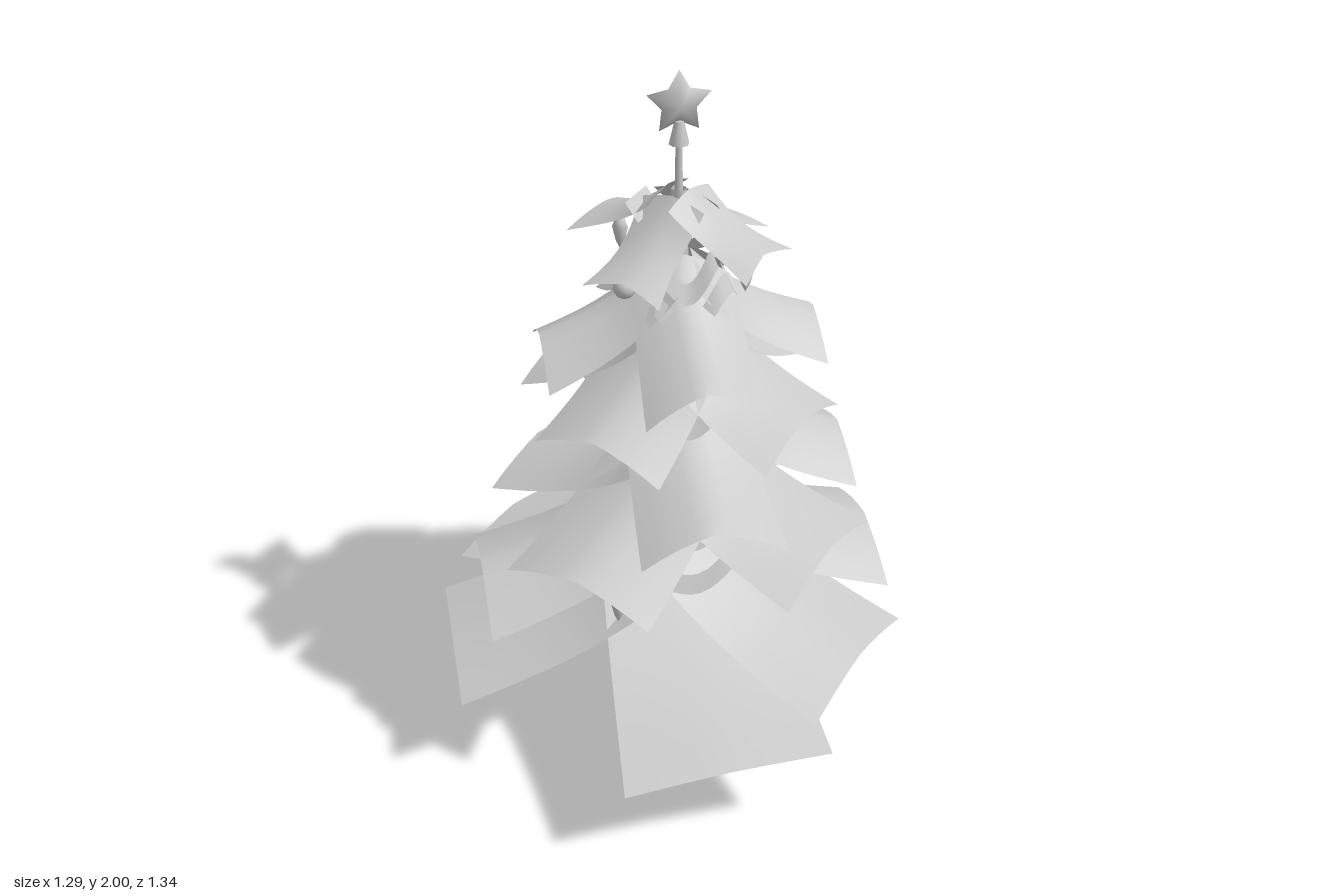
import * as THREE from 'three';
import { mergeVertices } from 'three/addons/utils/BufferGeometryUtils.js';

const mat = new THREE.MeshStandardMaterial({ color: 0xcccccc, side: THREE.DoubleSide });
const CX = 0.03; // trunk axis

function add(parent, geometry, name, x = 0, y = 0, z = 0) {
  const mesh = new THREE.Mesh(geometry, mat);
  mesh.name = name;
  mesh.position.set(x, y, z);
  parent.add(mesh);
  return mesh;
}

// Smooth surface from a function of u (0..1) and v (0..1)
function surface(nu, nv, fn) {
  const g = new THREE.PlaneGeometry(1, 1, nu, nv);
  const p = g.attributes.position;
  for (let i = 0; i < p.count; i++) p.setXYZ(i, ...fn(p.getX(i) + 0.5, p.getY(i) + 0.5));
  g.computeVertexNormals();
  return g;
}

// Arched branch sheet that runs outward (+z); roll lifts its +x side towards the outer edge
function branchSheet({ reach, half, yIn, yOut, drop, pinch = 0, roll = 0 }) {
  return surface(8, 8, (u, v) => {
    const s = u * 2 - 1, t = 1 - v;
    const a = Math.abs(s);
    const width = half * (0.82 + 0.18 * t - pinch * Math.sin(Math.PI * t));
    const sag = 0.6 * t + 0.4 * (1 - Math.pow(1 - t, 3));
    const arch = drop * (0.5 * a + 0.5 * a * a) * (0.8 + 0.2 * t);
    return [s * width, yIn + (yOut - yIn) * sag - arch + roll * s * t,
      0.03 + (reach - 0.03) * t - pinch * 0.12 * (1 - a) * t];
  });
}

// Five-pointed star, thickest at its centre, softly shaded
function starGeometry(outer, inner, depth) {
  const rim = [], pos = [];
  for (let i = 0; i < 10; i++) {
    const r = i % 2 ? inner : outer, a = Math.PI / 2 + i * Math.PI / 5;
    rim.push([r * Math.cos(a), r * Math.sin(a), 0]);
  }
  for (let i = 0; i < 10; i++) {
    const a = rim[i], b = rim[(i + 1) % 10];
    pos.push(...a, ...b, 0, 0, depth, ...b, ...a, 0, 0, -depth);
  }
  const g = new THREE.BufferGeometry();
  g.setAttribute('position', new THREE.Float32BufferAttribute(pos, 3));
  const merged = mergeVertices(g);
  merged.computeVertexNormals();
  return merged;
}

// Ribbon that winds round the trunk and hangs in swags
function ribbonGeometry(y0, y1, r0, r1, turns, phase) {
  return surface(72, 1, (u, v) => {
    const a = phase + u * turns * Math.PI * 2;
    const r = r0 + (r1 - r0) * u + (0.5 - v) * 0.025;
    const y = y0 + (y1 - y0) * u - 0.04 * Math.cos(a * 4) + (v - 0.5) * 0.05;
    return [r * Math.sin(a), y, r * Math.cos(a)];
  });
}

export function createModel() {
  const tree = new THREE.Group();
  tree.name = 'decoratedTree';

  // Tapered six-sided trunk
  const profile = [[0, 0], [0.1, 0], [0.077, 0.3], [0.06, 0.6], [0.04, 1.1], [0.02, 1.69]]
    .map(([r, y]) => new THREE.Vector2(r, y));
  add(tree, new THREE.LatheGeometry(profile, 6, Math.PI / 2), 'trunk', CX);

  // Branch tiers: direction in eighths of a turn, 0 = front, 2 = +x side
  const tiers = [
    { name: 'bottomBranch', dirs: [0, 4], reach: 0.67, half: 0.285, yIn: 0.6, yOut: 0.295, drop: 0.012, roll: 0.022 },
    { name: 'bottomSideBranch', dirs: [6], reach: 0.675, half: 0.285, yIn: 0.6, yOut: 0.292, drop: 0.012, roll: 0.026 },
    { name: 'lowDiagonalBranch', dirs: [1], reach: 0.61, half: 0.255, yIn: 0.68, yOut: 0.42, drop: 0.06 },
    { name: 'lowDiagonalBranch', dirs: [5], reach: 0.615, half: 0.26, yIn: 0.68, yOut: 0.43, drop: 0.05, roll: 0.02 },
    { name: 'lowSideBranch', dirs: [2, 6], reach: 0.572, half: 0.24, yIn: 0.8, yOut: 0.57, drop: 0.085 },
    { name: 'lowerMiddleBranch', dirs: [1, 3, 5, 7], reach: 0.495, half: 0.23, yIn: 0.94, yOut: 0.755, drop: 0.065 },
    { name: 'middleBranch', dirs: [0, 4], reach: 0.47, half: 0.195, yIn: 1.15, yOut: 0.95, drop: 0.09 },
    { name: 'droopingBranch', dirs: [2], reach: 0.465, half: 0.2, yIn: 1.16, yOut: 0.92, drop: 0.09 },
    { name: 'upperMiddleBranch', dirs: [1, 3, 5, 7], reach: 0.39, half: 0.195, yIn: 1.33, yOut: 1.135, drop: 0.065 },
    { name: 'upperBranch', dirs: [0, 2, 4, 6], reach: 0.37, half: 0.16, yIn: 1.52, yOut: 1.31, drop: 0.09 },
    { name: 'crownBranch', dirs: [1, 5], reach: 0.27, half: 0.115, yIn: 1.695, yOut: 1.575, drop: 0.03, pinch: 0.16 },
    { name: 'crownBranch', dirs: [3, 7], reach: 0.265, half: 0.115, yIn: 1.68, yOut: 1.53, drop: 0.03, pinch: 0.16 },
  ];
  for (const tier of tiers) {
    const geometry = branchSheet(tier);
    for (const d of tier.dirs) {
      add(tree, geometry, tier.name, CX).rotation.y = d * Math.PI / 4;
    }
  }

  // Ribbons between the tiers
  add(tree, ribbonGeometry(0.62, 0.78, 0.25, 0.22, 1.2, -0.8), 'lowerRibbon', CX);
  add(tree, ribbonGeometry(0.9, 1.2, 0.19, 0.18, 1.4, -0.1), 'middleRibbon', CX);
  add(tree, ribbonGeometry(1.4, 1.5, 0.15, 0.12, 1.2, -0.6), 'upperRibbon', CX);

  // Loose leaf beside the tip
  const leaf = add(tree, new THREE.PlaneGeometry(0.1, 0.06), 'tipLeaf', -0.06, 1.645, -0.02);
  leaf.rotation.set(-0.8, 0.6, 0.6);

  // Hanging balls
  const ball = new THREE.SphereGeometry(0.03, 12, 8);
  const cap = new THREE.CylinderGeometry(0.009, 0.012, 0.02, 8);
  for (const [x, y, z] of [[-0.375, 0.495, 0.1], [0.33, 0.485, -0.13], [-0.305, 1.24, 0.06],
    [-0.13, 1.48, 0.1], [0.14, 1.48, -0.13]]) {
    const g = new THREE.Group();
    g.name = 'ballOrnament';
    g.position.set(x, y, z);
    add(g, ball, 'ball');
    add(g, cap, 'ballCap', 0, 0.035);
    tree.add(g);
  }

  // Hanging drops
  const drop = new THREE.LatheGeometry([[0, -0.05], [0.012, -0.025], [0.021, 0.015], [0.014, 0.035], [0.005, 0.05]]
    .map(([r, y]) => new THREE.Vector2(r, y)), 10);
  for (const [x, y, z] of [[0.17, 1.51, 0.15], [-0.1, 1.52, -0.12], [-0.02, 1.22, -0.2],
    [-0.2, 0.61, 0.31], [0.28, 0.66, -0.22]]) {
    add(tree, drop, 'dropOrnament', x, y, z);
  }

  // Tip: stem, socket and star
  add(tree, new THREE.CylinderGeometry(0.008, 0.011, 0.17, 8), 'tipStem', CX, 1.76);
  add(tree, new THREE.CylinderGeometry(0.012, 0.026, 0.06, 8), 'starSocket', CX, 1.84);
  add(tree, starGeometry(0.085, 0.046, 0.034), 'star', CX, 1.915);

  return tree;
}
